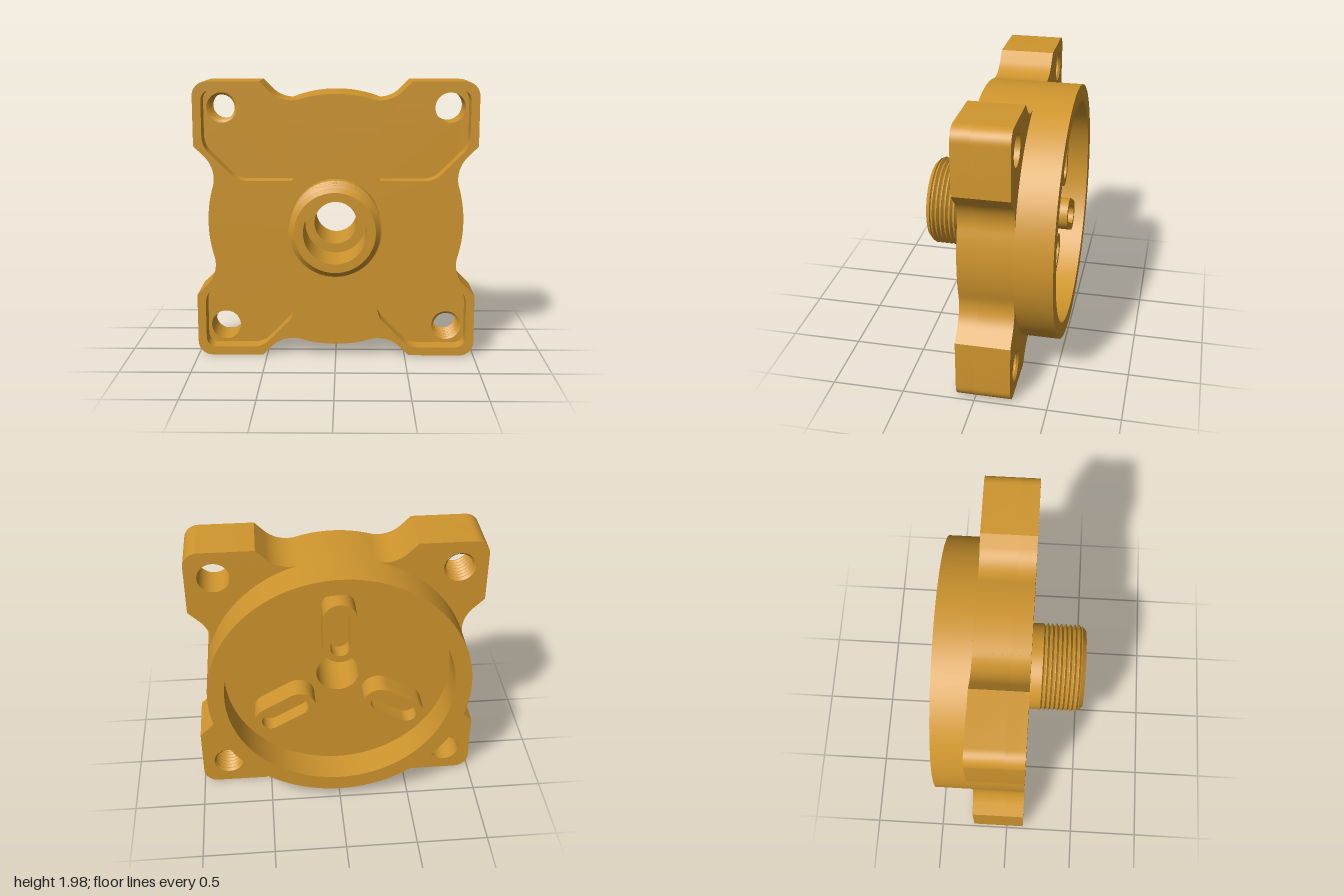
import * as THREE from 'three';
import { toCreasedNormals } from 'three/addons/utils/BufferGeometryUtils.js';

const V = (x, y) => new THREE.Vector2(x, y);
const RAD = Math.PI / 180;

// points along an arc, angles in degrees
function arc(cx, cy, r, a0, a1, n) {
  return Array.from({ length: n + 1 }, (_, i) => {
    const a = (a0 + (a1 - a0) * i / n) * RAD;
    return V(cx + r * Math.cos(a), cy + r * Math.sin(a));
  });
}
const circle = (cx, cy, r, n = 48) => arc(cx, cy, r, 0, 360, n).slice(0, -1);

// polygon with rounded corners; each corner is [x, y, radius]
function roundPoly(corners) {
  const pts = [];
  corners.forEach(([x, y, r], i) => {
    const [px, py] = corners.at(i - 1), [nx, ny] = corners[(i + 1) % corners.length];
    const c = V(x, y);
    const a = V(px - x, py - y).setLength(r).add(c), b = V(nx - x, ny - y).setLength(r).add(c);
    pts.push(...new THREE.QuadraticBezierCurve(a, c, b).getPoints(6));
  });
  return pts;
}

// slab from z0 to z1 with optional holes
function slab(outline, holes, z0, z1) {
  const shape = new THREE.Shape(outline);
  shape.holes = holes.map(h => new THREE.Path(h));
  const g = new THREE.ExtrudeGeometry(shape, { depth: z1 - z0, bevelEnabled: false });
  return toCreasedNormals(g.translate(0, 0, z0), 0.5);
}

// solid of revolution about the z axis, profile points are [radius, z]
function turned(profile, segments) {
  const g = new THREE.LatheGeometry(profile.map(p => V(...p)), segments);
  return toCreasedNormals(g.rotateX(Math.PI / 2), 0.5);
}

// round body with four corner pads, blended by fillets
function bodyOutline() {
  const q = [
    ...arc(0, 0, 0.905, 0, 16, 8),
    ...arc(1.08, 0.31, 0.2195, 196, 135, 12),
    V(1, 0.54),
    ...arc(0.9, 0.89, 0.1, 0, 90, 10),
    V(0.53, 0.99),
    ...arc(0.31, 1.08, 0.2195, 315, 254, 12),
    ...arc(0, 0, 0.905, 74, 90, 8),
  ];
  const back = [...q].reverse();
  return [
    ...q,
    ...back.slice(1).map(p => V(-p.x, p.y)),
    ...q.slice(1).map(p => V(-p.x, -p.y)),
    ...back.slice(1, -1).map(p => V(p.x, -p.y)),
  ];
}

// elongated slot outline standing along y
const obround = (r, half, cy) => [
  ...arc(0, cy + half, r, 0, 180, 16), ...arc(0, cy - half, r, 180, 360, 16),
];

export function createModel() {
  const model = new THREE.Group();
  const body = new THREE.Group();
  body.name = 'housing';
  body.position.y = 0.99;
  model.add(body);

  const brass = new THREE.MeshStandardMaterial({ color: 0xd0962e });
  brass.name = 'brass';
  const add = (name, geometry, parent = body) => {
    const m = new THREE.Mesh(geometry, brass);
    m.name = name;
    parent.add(m);
    return m;
  };

  const corners = [[1, 1], [-1, 1], [-1, -1], [1, -1]];
  const outline = bodyOutline();
  const centre = circle(0, 0, 0.15);

  // front half of the flange with four pockets
  const pockets = corners.map(([sx, sy]) => roundPoly([
    [0.30, 0.295, 0.02], [0.695, 0.295, 0.07], [0.94, 0.54, 0.07],
    [0.94, 0.93, 0.08], [0.535, 0.93, 0.07], [0.30, 0.695, 0.07],
  ].map(([x, y, r]) => [x * sx, y * sy, r])));
  add('flangeFront', slab(outline, [centre, ...pockets], 0, 0.125));

  // rear half of the flange with corner bolt holes
  const bolts = corners.map(([sx, sy]) => circle(0.81 * sx, 0.8 * sy, 0.107));
  add('flangeRear', slab(outline, [centre, ...bolts], -0.25, 0));

  // threads lining two opposite bolt holes
  const inner = [[0.107, 0]];
  for (let i = 0; i < 7; i++) {
    const z = -0.036 * i;
    inner.push([0.091, z - 0.012], [0.091, z - 0.018], [0.106, z - 0.034]);
  }
  const boltThread = turned(inner.filter(p => p[1] >= -0.25), 40);
  for (const s of [1, -1]) {
    add('boltThread', boltThread).position.set(-0.81 * s, 0.8 * s, 0);
  }

  // rear cup: rim, wall and floor
  add('rearCup', turned([
    [0.15, -0.25], [0.15, -0.28], [0.79, -0.28], [0.79, -0.505],
    [0.905, -0.505], [0.905, -0.25],
  ], 128));

  // threaded spout with stepped bore
  const spout = [[0.311, 0.12], [0.311, 0.205], [0.292, 0.215]];
  for (let i = 0; i < 8; i++) {
    const z = 0.215 + 0.032 * i;
    spout.push([0.314, z + 0.014], [0.314, z + 0.018], [0.292, z + 0.032]);
  }
  spout.push([0.305, 0.476], [0.275, 0.505], [0.215, 0.505], [0.215, 0.15], [0.15, 0.15], [0.15, 0.12]);
  add('threadedSpout', turned(spout, 96));

  // three slotted bosses on the cup floor
  const outer = obround(0.115, 0.115, 0.44), slot = obround(0.065, 0.115, 0.44);
  const base = slab(outer, [], -0.33, -0.275);
  const wall = slab(outer, [slot], -0.44, -0.33);
  for (let i = 0; i < 3; i++) {
    const boss = new THREE.Group();
    boss.name = 'slottedBoss';
    boss.rotation.z = i * 120 * RAD;
    add('bossBase', base, boss);
    add('bossWall', wall, boss);
    body.add(boss);
  }

  return model;
}
